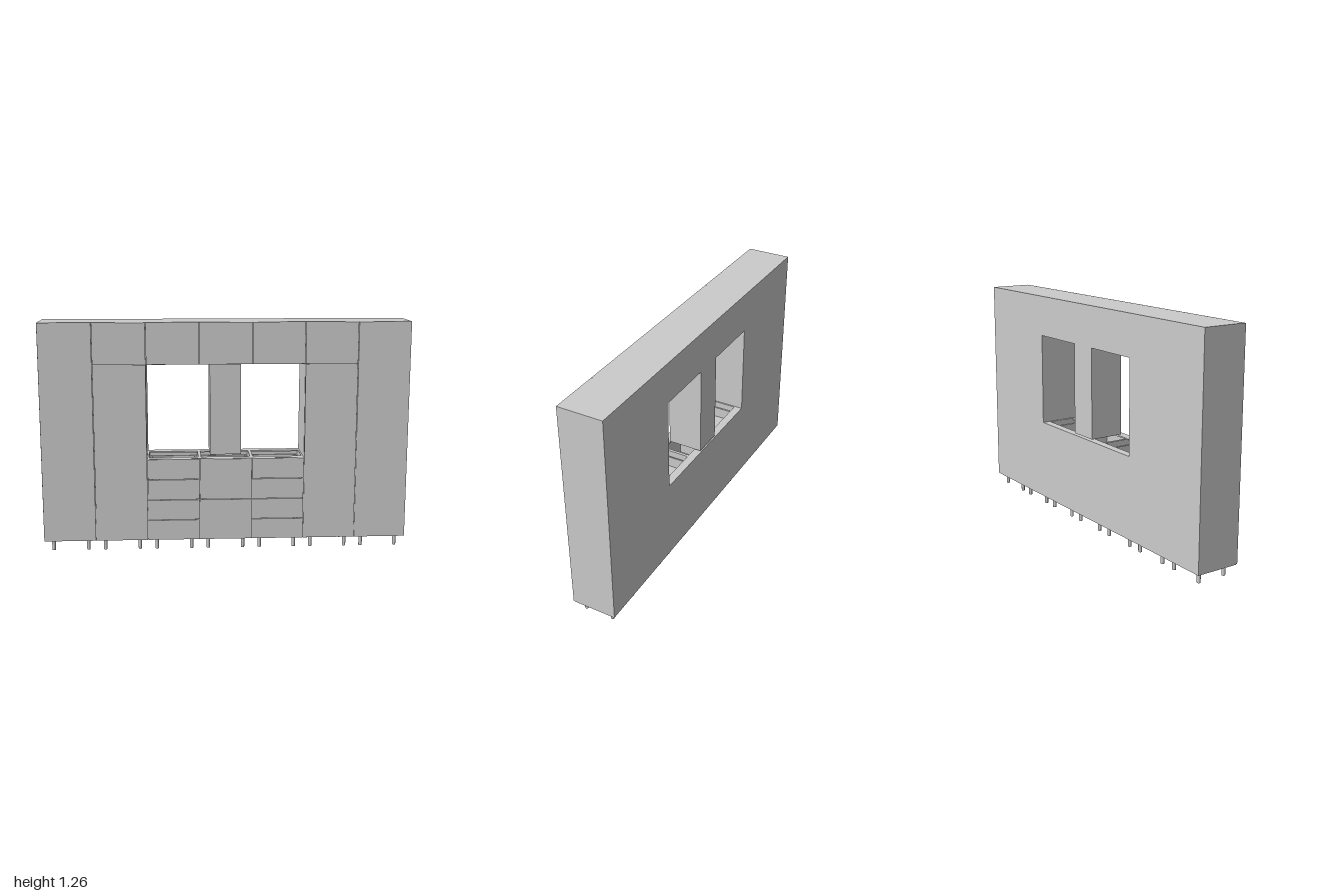
import * as THREE from 'three';

const W = 2 / 7;          // module width
const T = 0.008;          // panel thickness
const GAP = 0.003;        // reveal between fronts
const BACK = -0.125, FACE = 0.125, CARCASS = FACE - T;
const FLOOR = 0.062, BASE_TOP = 0.518, UPPER = 1.034, TOP = 1.26;

const material = new THREE.MeshStandardMaterial({ color: 0xcccccc });

// Box given by its minimum and maximum corners
function panel(parent, name, x0, x1, y0, y1, z0, z1) {
  const mesh = new THREE.Mesh(new THREE.BoxGeometry(x1 - x0, y1 - y0, z1 - z0), material);
  mesh.position.set((x0 + x1) / 2, (y0 + y1) / 2, (z0 + z1) / 2);
  mesh.name = name;
  parent.add(mesh);
  return mesh;
}

// Hollow cabinet body; an open top gets a front and a back rail instead
function carcass(parent, name, cx, y0, y1, openTop = false, shelves = 0) {
  const g = new THREE.Group();
  g.name = name;
  const x0 = cx - W / 2, x1 = cx + W / 2;
  panel(g, 'sidePanel', x0, x0 + T, y0, y1, BACK, CARCASS);
  panel(g, 'sidePanel', x1 - T, x1, y0, y1, BACK, CARCASS);
  panel(g, 'bottomPanel', x0 + T, x1 - T, y0, y0 + T, BACK, CARCASS);
  panel(g, 'backPanel', x0 + T, x1 - T, y0 + T, y1 - T, BACK, BACK + T / 2);
  if (openTop) {
    panel(g, 'frontRail', x0 + T, x1 - T, y1 - T, y1, CARCASS - 0.045, CARCASS);
    panel(g, 'backRail', x0 + T, x1 - T, y1 - T, y1, BACK, BACK + 0.045);
  } else {
    panel(g, 'topPanel', x0 + T, x1 - T, y1 - T, y1, BACK, CARCASS);
  }
  for (let i = 1; i <= shelves; i++) {
    const y = y0 + (y1 - y0) * i / (shelves + 1);
    panel(g, 'shelf', x0 + T, x1 - T, y, y + T, BACK + T, CARCASS - 0.01);
  }
  parent.add(g);
  return g;
}

// Door or drawer front with a reveal all round
function front(parent, name, cx, y0, y1) {
  const h = W / 2 - GAP / 2;
  panel(parent, name, cx - h, cx + h, y0 + GAP / 2, y1 - GAP / 2, CARCASS, FACE);
}

// Open drawer box behind a drawer front
function drawer(parent, cx, y0, y1) {
  const g = new THREE.Group();
  g.name = 'drawer';
  front(g, 'drawerFront', cx, y0, y1);
  const x0 = cx - W / 2 + 0.016, x1 = cx + W / 2 - 0.016;
  const b = y0 + 0.016, t = y1 - 0.03, z0 = BACK + 0.02, z1 = CARCASS - 0.001;
  panel(g, 'drawerBottom', x0, x1, b, b + T, z0, z1);
  panel(g, 'drawerSide', x0, x0 + T, b, t, z0, z1);
  panel(g, 'drawerSide', x1 - T, x1, b, t, z0, z1);
  panel(g, 'drawerBack', x0 + T, x1 - T, b, t, z0, z0 + T);
  parent.add(g);
}

// Four short round feet under a module
function legs(parent, cx) {
  const geo = new THREE.CylinderGeometry(0.0105, 0.0095, FLOOR, 20);
  for (const x of [-0.096, 0.096]) {
    for (const z of [-0.082, 0.077]) {
      const leg = new THREE.Mesh(geo, material);
      leg.position.set(cx + x, FLOOR / 2, z);
      leg.name = 'leg';
      parent.add(leg);
    }
  }
}

export function createModel() {
  const model = new THREE.Group();
  model.name = 'kitchenWall';

  for (let col = -3; col <= 3; col++) {
    const cx = col * W;
    const side = Math.abs(col);
    const unit = new THREE.Group();
    unit.name = 'cabinetColumn';
    model.add(unit);
    legs(unit, cx);

    // Full-height end cabinets
    if (side === 3) {
      carcass(unit, 'tallCabinet', cx, FLOOR, TOP, false, 4);
      front(unit, 'tallDoor', cx, FLOOR, TOP);
      continue;
    }

    // Wall cabinets along the top
    carcass(unit, 'upperCabinet', cx, UPPER, TOP);
    front(unit, 'upperDoor', cx, UPPER, TOP);

    if (side === 2) {
      // Tall cabinets flanking the worktop
      carcass(unit, 'tallCabinet', cx, FLOOR, UPPER, false, 3);
      front(unit, 'tallDoor', cx, FLOOR, UPPER);
    } else {
      // Base cabinets: four drawers at the sides, two deep ones in the middle
      carcass(unit, 'baseCabinet', cx, FLOOR, BASE_TOP, true);
      const n = side === 1 ? 4 : 2;
      const h = (BASE_TOP - FLOOR) / n;
      for (let i = 0; i < n; i++) drawer(unit, cx, FLOOR + i * h, FLOOR + (i + 1) * h);
    }
  }

  // Box column hanging from the middle wall cabinet
  panel(model, 'hoodColumn', -0.085, 0.085, 0.53, UPPER, BACK, 0.068);
  return model;
}
